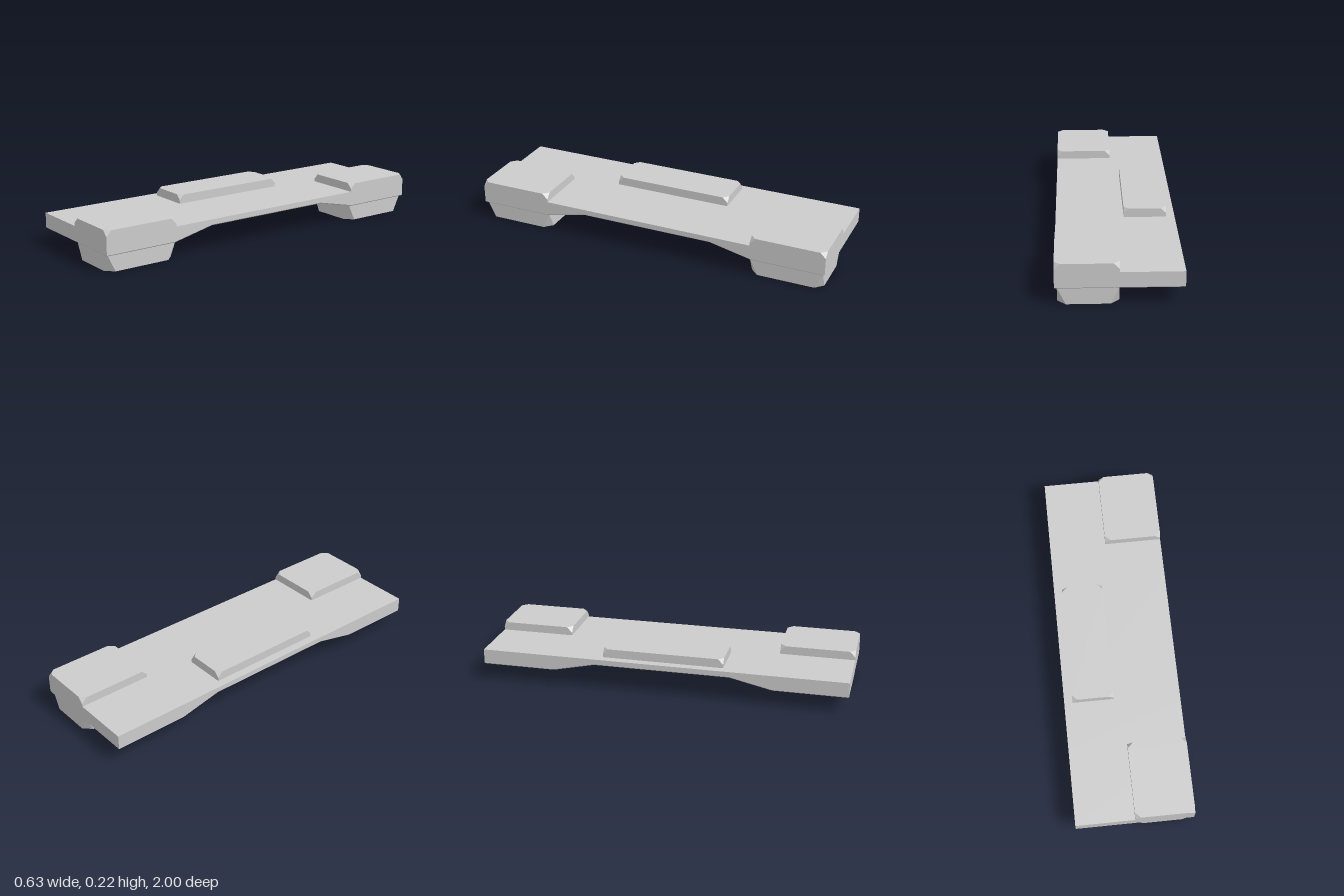
import * as THREE from 'three';
import { ConvexGeometry } from 'three/addons/geometries/ConvexGeometry.js';

const material = new THREE.MeshStandardMaterial({ color: 0xcccccc, flatShading: true });

const CEILING = 0.148; // flat underside inside the rim

function addMesh(group, name, geometry) {
  const mesh = new THREE.Mesh(geometry, material);
  mesh.name = name;
  group.add(mesh);
}

// Block from yBase to yEnd whose four corners at yEnd are cut off
function cutBlock(x0, x1, z0, z1, yBase, yEnd, inset, cutHeight) {
  const points = [];
  const yCut = yEnd - Math.sign(yEnd - yBase) * cutHeight;
  for (const [x, sx] of [[x0, 1], [x1, -1]]) {
    for (const [z, sz] of [[z0, 1], [z1, -1]]) {
      points.push(
        new THREE.Vector3(x, yBase, z),
        new THREE.Vector3(x, yCut, z),
        new THREE.Vector3(x + sx * inset, yEnd, z),
        new THREE.Vector3(x, yEnd, z + sz * inset)
      );
    }
  }
  return new ConvexGeometry(points);
}

// Plank hollow underneath: a thin bevelled rim, arched along its length, round a flat ceiling
function plankGeometry() {
  const stations = [-1, -0.6, -0.37, 0.37, 0.6, 1];
  const rim = [0.088, 0.088, 0.139, 0.139, 0.088, 0.088];
  const halfWidth = 0.315, top = 0.172, bevel = 0.005;
  const insets = [0, 0, bevel, 0.008, 0.008];
  const box = new THREE.BoxGeometry(2, 4, 5, 1, 4, 5);
  const pos = box.attributes.position;
  for (let i = 0; i < pos.count; i++) {
    const k = Math.round(pos.getZ(i) + 2.5);
    const row = Math.round(2 - pos.getY(i)); // top, bevel, rim outside, rim inside, ceiling
    const y = [top, rim[k] + bevel, rim[k], rim[k], CEILING][row];
    const z = stations[k] - (k === 0 || k === 5 ? Math.sign(stations[k]) * insets[row] : 0);
    pos.setXYZ(i, Math.sign(pos.getX(i)) * (halfWidth - insets[row]), y, z);
  }
  const flat = box.toNonIndexed();
  flat.computeVertexNormals();
  return flat;
}

export function createModel() {
  const group = new THREE.Group();
  group.name = 'plate';

  addMesh(group, 'plank', plankGeometry());
  addMesh(group, 'middlePad', cutBlock(-0.27, -0.045, -0.33, 0.33, 0.16, 0.22, 0.028, 0.028));

  // End pads on top and feet below, mirrored front to back
  for (const [side, s] of [['front', 1], ['back', -1]]) {
    const span = (a, b) => [Math.min(s * a, s * b), Math.max(s * a, s * b)];
    addMesh(group, side + 'Pad', cutBlock(0, 0.315, ...span(0.594, 1), 0.16, 0.218, 0.03, 0.03));
    addMesh(group, side + 'Foot', cutBlock(0.002, 0.302, ...span(0.594, 0.988), CEILING + 0.004, 0, 0.042, 0.088));
  }
  return group;
}
